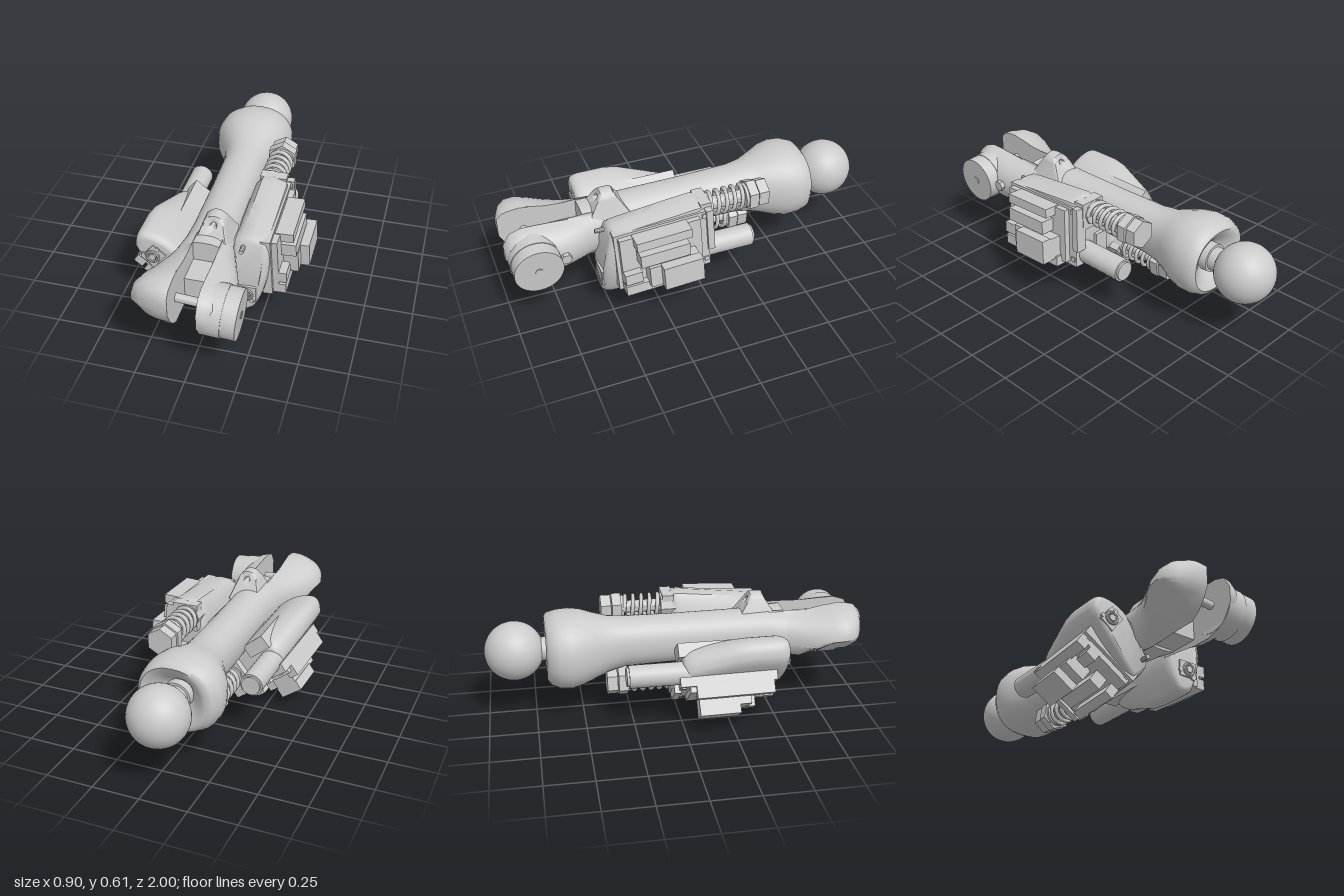
import * as THREE from 'three';
import { toCreasedNormals, mergeVertices } from 'three/addons/utils/BufferGeometryUtils.js';

const mat = new THREE.MeshStandardMaterial({ color: 0xcccccc, side: THREE.DoubleSide });

function add(group, name, geo, x = 0, y = 0, z = 0, crease = 0.6) {
  const mesh = new THREE.Mesh(toCreasedNormals(geo, crease), mat);
  mesh.name = name;
  mesh.position.set(x, y, z);
  group.add(mesh);
  return mesh;
}

// box from its limits on each axis
function block(group, name, x0, x1, y0, y1, z0, z1) {
  return add(group, name, new THREE.BoxGeometry(x1 - x0, y1 - y0, z1 - z0), (x0 + x1) / 2, (y0 + y1) / 2, (z0 + z1) / 2);
}

// cylinder lying along z
function rod(group, name, r, x, y, z0, z1, sides = 24) {
  const geo = new THREE.CylinderGeometry(r, r, Math.abs(z1 - z0), sides).rotateX(Math.PI / 2);
  return add(group, name, geo, x, y, (z0 + z1) / 2);
}

// cylinder lying along x, leaning slightly
function axle(group, name, r, length, x, y, z, sides = 32) {
  add(group, name, new THREE.CylinderGeometry(r, r, length, sides), x, y, z).rotation.z = Math.PI / 2 - 0.07;
}

// move each vertex by a rule
function reshape(geo, rule) {
  const p = geo.attributes.position, v = new THREE.Vector3();
  for (let i = 0; i < p.count; i++) {
    rule(v.fromBufferAttribute(p, i));
    p.setXYZ(i, v.x, v.y, v.z);
  }
  return geo;
}

// closed skin over oval sections [z, x0, x1, y0, y1]
function loft(sections, n = 36) {
  const pos = [], idx = [];
  for (const [z, x0, x1, y0, y1] of sections) {
    for (let j = 0; j < n; j++) {
      const a = (j / n) * Math.PI * 2;
      const p = (v) => Math.sign(v) * Math.abs(v) ** 0.9;
      pos.push((x0 + x1) / 2 + ((x1 - x0) / 2) * p(Math.cos(a)), (y0 + y1) / 2 + ((y1 - y0) / 2) * p(Math.sin(a)), z);
    }
  }
  const m = sections.length;
  for (let i = 0; i < m - 1; i++) {
    for (let j = 0; j < n; j++) {
      const a = i * n + j, b = i * n + ((j + 1) % n);
      idx.push(a, b, b + n, a, b + n, a + n);
    }
  }
  for (const [k, flip] of [[0, true], [m - 1, false]]) {
    const [z, x0, x1, y0, y1] = sections[k], c = pos.length / 3;
    pos.push((x0 + x1) / 2, (y0 + y1) / 2, z);
    for (let j = 0; j < n; j++) {
      const a = k * n + j, b = k * n + ((j + 1) % n);
      idx.push(c, flip ? b : a, flip ? a : b);
    }
  }
  const geo = new THREE.BufferGeometry();
  geo.setAttribute('position', new THREE.Float32BufferAttribute(pos, 3));
  geo.setIndex(idx);
  return mergeVertices(geo, 1e-5);
}

function makeBone() {
  const g = new THREE.Group();
  g.name = 'bone';
  // shaft with flared, cupped rear end
  add(g, 'shaft', loft([
    [-0.6, -0.1, 0.02, 0.32, 0.44], [-0.635, -0.13, 0.06, 0.29, 0.47], [-0.67, -0.17, 0.11, 0.25, 0.51],
    [-0.685, -0.205, 0.14, 0.22, 0.54], [-0.67, -0.235, 0.157, 0.195, 0.56], [-0.62, -0.26, 0.165, 0.175, 0.575],
    [-0.56, -0.262, 0.163, 0.17, 0.58], [-0.5, -0.245, 0.15, 0.185, 0.572], [-0.43, -0.205, 0.115, 0.21, 0.55],
    [-0.36, -0.17, 0.092, 0.235, 0.53], [-0.27, -0.15, 0.085, 0.255, 0.52], [0, -0.145, 0.085, 0.26, 0.515],
    [0.35, -0.143, 0.093, 0.26, 0.515], [0.48, -0.15, 0.115, 0.255, 0.52], [0.58, -0.172, 0.15, 0.25, 0.518],
  ]), 0, 0, 0, 1);

  // fork prongs with flat inner faces; the right one is undercut on a slant
  const rightProng = loft([
    [0.5, -0.15, 0.1, 0.258, 0.518], [0.58, -0.172, 0.15, 0.25, 0.518], [0.65, -0.2, 0.17, 0.245, 0.515],
    [0.73, -0.24, 0.16, 0.235, 0.52], [0.81, -0.275, 0.15, 0.228, 0.535], [0.87, -0.283, 0.12, 0.25, 0.545],
    [0.92, -0.27, 0.09, 0.29, 0.54], [0.96, -0.215, 0.05, 0.34, 0.53], [0.99, -0.13, 0, 0.4, 0.5],
  ]);
  add(g, 'rightProng', reshape(rightProng, (v) => {
    v.x = Math.min(v.x, -0.07);
    const w = THREE.MathUtils.clamp((v.z - 0.52) / 0.25, 0, 1);
    v.y = Math.max(v.y, 0.25 + w * (0.03 + 0.7 * (-0.1 - v.x)));
  }), 0, 0, 0, 0.9);
  const leftProng = loft([
    [0.5, -0.15, 0.1, 0.258, 0.518], [0.58, -0.17, 0.15, 0.25, 0.518], [0.66, -0.19, 0.178, 0.24, 0.515],
    [0.73, -0.17, 0.19, 0.23, 0.515], [0.83, -0.12, 0.185, 0.23, 0.52], [0.9, -0.08, 0.175, 0.25, 0.52],
    [0.96, -0.04, 0.15, 0.3, 0.5], [0.995, 0, 0.11, 0.36, 0.44],
  ]);
  add(g, 'leftProng', reshape(leftProng, (v) => { v.x = Math.max(v.x, 0.065); }), 0, 0, 0, 0.9);
  block(g, 'forkWeb', -0.08, 0.075, 0.265, 0.41, 0.54, 0.73);

  axle(g, 'forkPin', 0.022, 0.22, 0, 0.4, 0.86, 16);
  axle(g, 'prongBoss', 0.13, 0.1, 0.122, 0.375, 0.86);
  axle(g, 'forkDisc', 0.126, 0.075, 0.205, 0.37, 0.86);
  axle(g, 'discHub', 0.02, 0.084, 0.205, 0.37, 0.86, 12);
  axle(g, 'prongBolt', 0.03, 0.04, 0.185, 0.37, 0.71, 6);

  // lug with a hole, thicker towards its base
  const s = new THREE.Shape();
  s.moveTo(-0.08, 0.46);
  s.lineTo(-0.045, 0.565);
  s.absarc(0.008, 0.55, 0.05, Math.PI * 0.95, 0.05 * Math.PI, true);
  s.lineTo(0.09, 0.46);
  const hole = new THREE.Path();
  hole.absarc(0.008, 0.562, 0.018, 0, Math.PI * 2);
  s.holes.push(hole);
  const lug = new THREE.ExtrudeGeometry(s, { depth: 0.05, bevelSize: 0.006, bevelThickness: 0.01, bevelSegments: 2, curveSegments: 16 });
  lug.translate(0, 0, -0.025);
  add(g, 'lug', reshape(lug, (v) => { v.z *= 1 + Math.max(0, 0.59 - v.y) * 18; }), 0, 0, 0.44);

  // ball joint on its neck
  rod(g, 'neck', 0.062, -0.04, 0.378, -0.76, -0.58);
  rod(g, 'neckCollar', 0.075, -0.04, 0.378, -0.66, -0.58);
  add(g, 'ball', new THREE.SphereGeometry(0.154, 40, 28), -0.04, 0.378, -0.846, 1);
  return g;
}

function makePod(name) {
  const g = new THREE.Group();
  g.name = name;

  // rounded body, its underside and its top rising towards the rear
  const s = new THREE.Shape();
  s.moveTo(0.14, 0.515);
  s.lineTo(0.16, 0.54);
  s.lineTo(0.2, 0.545);
  s.lineTo(0.248, 0.53);
  s.bezierCurveTo(0.27, 0.42, 0.26, 0.24, 0.2, 0.13);
  s.quadraticCurveTo(0.15, 0.09, 0.13, 0.13);
  s.quadraticCurveTo(0.09, 0.19, 0.1, 0.28);
  s.lineTo(0.13, 0.42);
  const body = new THREE.ExtrudeGeometry(s, { depth: 0.43, steps: 6, bevelSize: 0.03, bevelThickness: 0.055, bevelSegments: 4, curveSegments: 12 });
  body.translate(0, 0, 0.055);
  add(g, 'podBody', reshape(body, (v) => {
    const rise = Math.max(0, 0.3 - v.z) * Math.max(0, 0.4 - v.y) * 1.1;
    const drop = Math.max(0, v.y - 0.4) * Math.max(0, v.z) * 0.65;
    v.z -= Math.max(0, v.z - 0.45) * Math.max(0, v.y - 0.3) * 2;
    v.x += rise * 0.3;
    v.y += rise - drop;
  }), 0, 0, 0, 0.7);

  // brackets on the shaft side, front strip and bolts
  block(g, 'bracket', 0.04, 0.15, 0.31, 0.43, 0.05, 0.28);
  block(g, 'innerPlate', 0.075, 0.15, 0.2, 0.33, -0.02, 0.26);
  block(g, 'frontStrip', 0.13, 0.235, 0.17, 0.255, 0.5, 0.545);
  add(g, 'boltRing', new THREE.TorusGeometry(0.03, 0.008, 8, 20), 0.185, 0.21, 0.548);
  rod(g, 'frontBolt', 0.02, 0.185, 0.21, 0.53, 0.556, 6);
  for (const [x, y] of [[0.135, 0.2], [0.215, 0.17], [0.16, 0.47]]) rod(g, 'screw', 0.012, x, y, 0.46, 0.548, 10);

  // side panel with stacked blocks, leaning slightly
  const panel = new THREE.Group();
  panel.name = 'sidePanel';
  block(panel, 'panelPlate', 0.245, 0.295, 0.18, 0.515, -0.02, 0.48);
  block(panel, 'panelCover', 0.29, 0.325, 0.2, 0.5, 0.03, 0.46);
  block(panel, 'rearRail', 0.25, 0.31, 0.28, 0.52, -0.045, -0.01);
  block(panel, 'lowerRail', 0.29, 0.36, 0.18, 0.235, 0.06, 0.46);
  block(panel, 'upperBlock', 0.3, 0.39, 0.455, 0.505, 0.1, 0.39);
  block(panel, 'middleBlock', 0.31, 0.4, 0.36, 0.43, 0.12, 0.38);
  block(panel, 'lowerBlock', 0.31, 0.4, 0.225, 0.345, 0.07, 0.34);
  block(panel, 'outerBlock', 0.39, 0.445, 0.22, 0.35, 0.07, 0.28);
  block(panel, 'frontCube', 0.31, 0.365, 0.25, 0.31, 0.37, 0.46);
  for (const [y, z] of [[0.22, 0.45], [0.48, 0.45], [0.22, 0], [0.49, 0]]) block(panel, 'panelScrew', 0.28, 0.302, y - 0.012, y + 0.012, z - 0.012, z + 0.012);
  panel.rotation.set(0.05, 0, 0.05);
  panel.position.set(0.02, 0.005, -0.015);
  g.add(panel);

  // coil spring on a rod, closed by hex nuts
  const sx = 0.18, sy = 0.49;
  block(g, 'seatPlate', 0.125, 0.265, 0.41, 0.56, -0.04, 0.02);
  rod(g, 'springSeat', 0.07, sx, sy, -0.05, 0.06, 8);
  rod(g, 'springRod', 0.034, sx, sy, -0.36, 0);
  const pts = [];
  for (let i = 0; i <= 80; i++) {
    const a = (i / 80) * Math.PI * 2 * 4.5;
    pts.push(new THREE.Vector3(sx + 0.06 * Math.cos(a), sy + 0.06 * Math.sin(a), -0.05 - (0.2 * i) / 80));
  }
  add(g, 'spring', new THREE.TubeGeometry(new THREE.CatmullRomCurve3(pts), 160, 0.011, 8), 0, 0, 0, 1);
  rod(g, 'washer', 0.065, sx, sy, -0.265, -0.25);
  rod(g, 'innerNut', 0.083, sx, sy, -0.315, -0.265, 6);
  rod(g, 'outerNut', 0.076, sx, sy, -0.375, -0.32, 6);

  // plain cylinder below the spring
  rod(g, 'piston', 0.06, 0.22, 0.255, -0.28, 0.2);
  rod(g, 'pistonTip', 0.05, 0.22, 0.255, -0.292, -0.27);
  return g;
}

export function createModel() {
  const model = new THREE.Group();
  model.name = 'limb';
  model.add(makeBone(), makePod('leftPod'));
  // the second pod is the first one turned about the shaft
  const right = makePod('rightPod');
  right.rotation.z = THREE.MathUtils.degToRad(231);
  right.position.set(-0.34, 0.628, 0);
  model.add(right);
  return model;
}
